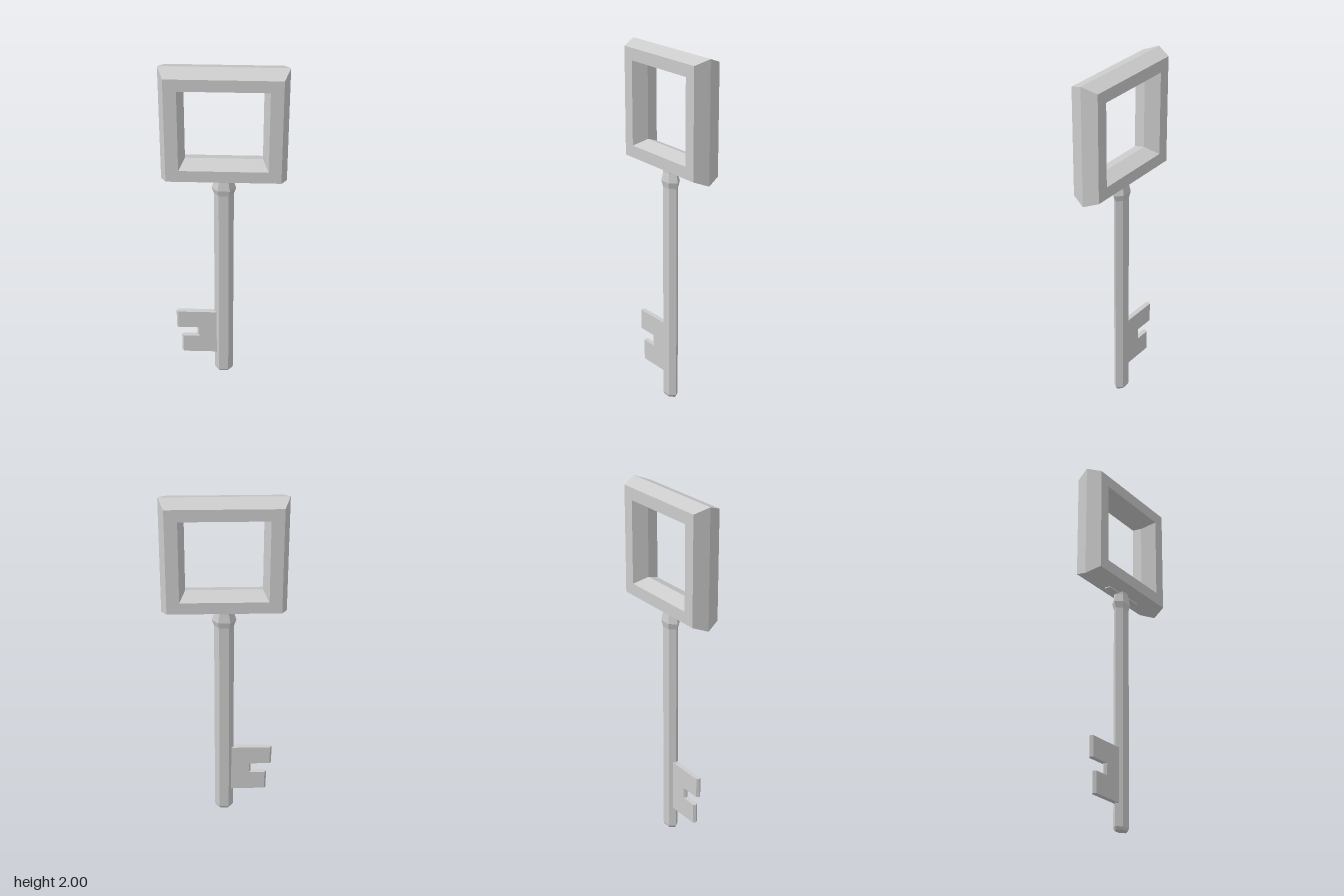
import * as THREE from 'three';

const material = new THREE.MeshStandardMaterial({ color: 0xcccccc, flatShading: true });

function part(name, geometry) {
  const faceted = geometry.index ? geometry.toNonIndexed() : geometry;
  faceted.computeVertexNormals();
  const mesh = new THREE.Mesh(faceted, material);
  mesh.name = name;
  return mesh;
}

const points = (list) => list.map(([x, y]) => new THREE.Vector2(x, y));

export function createModel() {
  const key = new THREE.Group();
  key.name = 'key';

  // Square bow: a hexagonal section swept around four sides, [half width, z]
  const section = [[0.3, -0.08], [0.33, 0], [0.3, 0.08], [0.233, 0.08], [0.202, 0], [0.233, -0.08], [0.3, -0.08]];
  const bow = new THREE.LatheGeometry(points(section.map(([w, z]) => [w * Math.SQRT2, z])), 4, Math.PI / 4);
  bow.rotateX(Math.PI / 2).translate(0, 1.67, 0);
  key.add(part('bow', bow));

  // Flattened six-sided shaft with chamfered tip and collar, [radius, y]
  const profile = [[0, 0], [0.044, 0], [0.053, 0.014], [0.053, 1.25], [0.065, 1.285], [0.051, 1.335], [0.051, 1.36], [0, 1.36]];
  const shaft = new THREE.LatheGeometry(points(profile), 6, Math.PI / 2);
  shaft.scale(1, 1, 0.67);
  key.add(part('shaft', shaft));

  // Thin seat where the shaft meets the bow
  const seat = new THREE.BoxGeometry(0.26, 0.012, 0.03);
  seat.translate(0, 1.343, 0);
  key.add(part('bowSeat', seat));

  // Notched bit, slightly flared at its root
  const outline = points([
    [-0.02, 0.128], [-0.05, 0.137], [-0.232, 0.137], [-0.232, 0.255], [-0.142, 0.255],
    [-0.142, 0.32], [-0.26, 0.32], [-0.26, 0.435], [-0.05, 0.435], [-0.02, 0.444],
  ]);
  const thickness = 0.028;
  const bit = new THREE.ExtrudeGeometry(new THREE.Shape(outline), { depth: thickness, steps: 2, bevelEnabled: false });
  bit.translate(0, 0, -thickness / 2);
  // Push the middle layer of the tooth ends out to a ridge
  const p = bit.attributes.position;
  for (let i = 0; i < p.count; i++) {
    if (Math.abs(p.getZ(i)) < 0.001 && p.getX(i) < -0.1) p.setX(i, p.getX(i) - 0.01);
  }
  key.add(part('bit', bit));

  return key;
}
